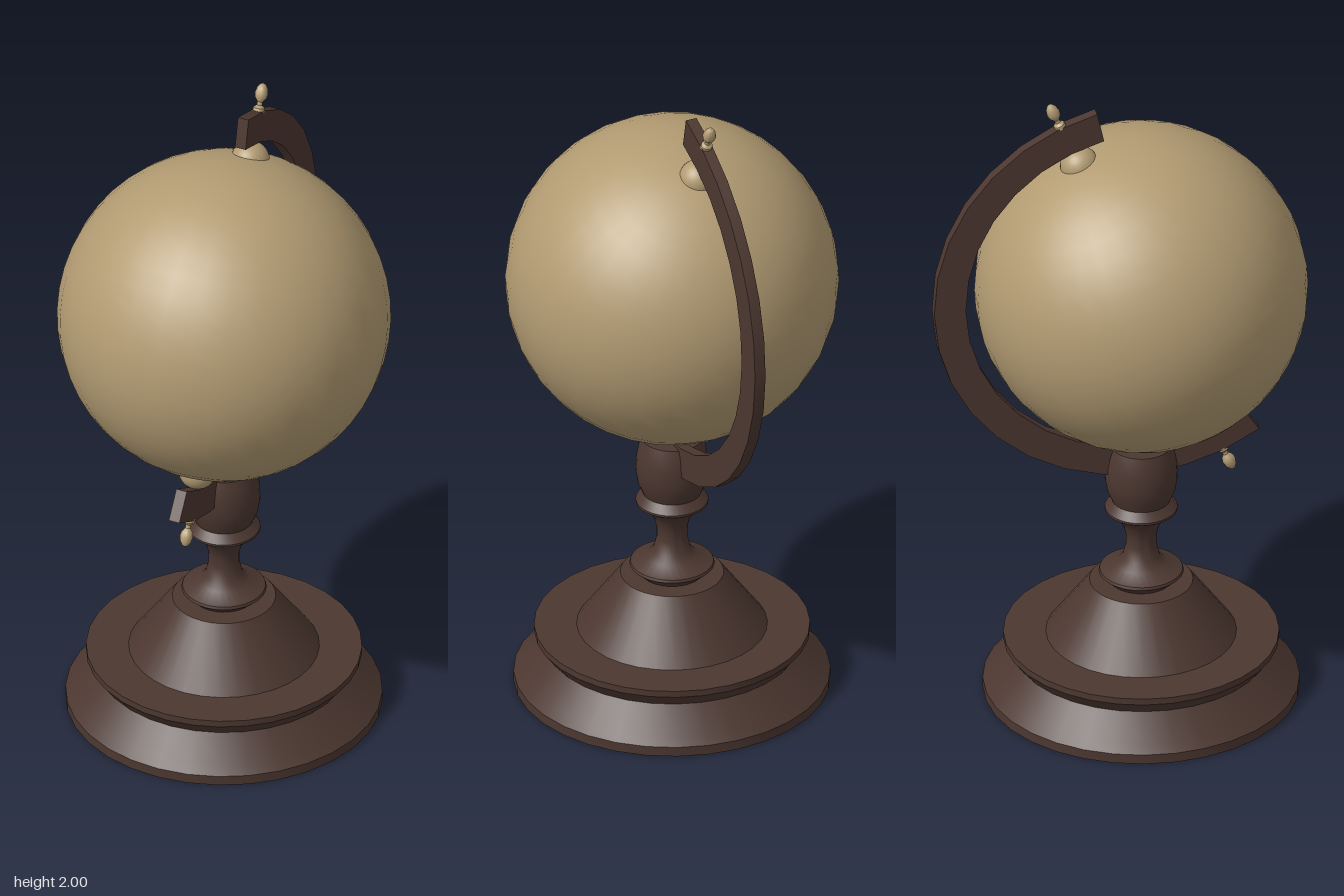
import * as THREE from 'three';
import { toCreasedNormals } from 'three/addons/utils/BufferGeometryUtils.js';

const CENTRE_Y = 1.35, CENTRE_Z = 0.07, TILT = THREE.MathUtils.degToRad(23);

function lathe(profile, segments) {
  const points = profile.map(([r, y]) => new THREE.Vector2(r, y));
  return toCreasedNormals(new THREE.LatheGeometry(points, segments), 0.6);
}

function addMesh(parent, name, geometry, material) {
  const mesh = new THREE.Mesh(geometry, material);
  mesh.name = name;
  parent.add(mesh);
  return mesh;
}

export function createModel() {
  const model = new THREE.Group();
  model.name = 'tabletopGlobe';
  const wood = new THREE.MeshStandardMaterial({ color: 0x4c3730 });
  wood.name = 'darkWood';
  const tan = new THREE.MeshStandardMaterial({ color: 0xb29b72 });
  tan.name = 'agedTan';

  // Stepped round foot with a conical top
  const foot = addMesh(model, 'foot', lathe([
    [0, 0], [0.465, 0], [0.465, 0.03], [0.44, 0.055], [0.375, 0.125],
    [0.405, 0.165], [0.405, 0.185], [0.28, 0.185], [0.152, 0.36], [0, 0.36],
  ], 32), wood);
  foot.position.z = CENTRE_Z;

  // Turned column ending in a cup that grips the arm
  const column = addMesh(model, 'column', lathe([
    [0.09, 0.358], [0.125, 0.39], [0.122, 0.398], [0.075, 0.418], [0.055, 0.44],
    [0.045, 0.48], [0.045, 0.515], [0.055, 0.55], [0.075, 0.578], [0.107, 0.6],
    [0.107, 0.607], [0.086, 0.632], [0.1, 0.665], [0.107, 0.705], [0.105, 0.75],
    [0.099, 0.785], [0.089, 0.815], [0, 0.815],
  ], 32), wood);
  column.position.z = CENTRE_Z;

  // Curved arm behind the ball
  const start = THREE.MathUtils.degToRad(77.5), end = THREE.MathUtils.degToRad(-124.2);
  const arc = new THREE.Shape();
  const steps = 18;
  for (let i = 0; i <= steps; i++) {
    const a = start + (end - start) * i / steps;
    arc[i ? 'lineTo' : 'moveTo'](0.625 * Math.cos(a), 0.625 * Math.sin(a));
  }
  for (let i = steps; i >= 0; i--) {
    const a = start + (end - start) * i / steps;
    arc.lineTo(0.53 * Math.cos(a), 0.53 * Math.sin(a));
  }
  const armGeometry = new THREE.ExtrudeGeometry(arc, { depth: 0.034, bevelEnabled: false });
  armGeometry.translate(0, 0, -0.017).rotateY(Math.PI / 2);
  const arm = addMesh(model, 'arm', toCreasedNormals(armGeometry, 0.5), wood);
  arm.position.set(0, CENTRE_Y, CENTRE_Z);

  // Ball, hubs and finials on the tilted axis
  const axis = new THREE.Group();
  axis.name = 'tiltedAxis';
  axis.position.set(0, CENTRE_Y, CENTRE_Z);
  axis.rotation.x = -TILT;
  model.add(axis);
  addMesh(axis, 'ball', new THREE.SphereGeometry(0.49, 32, 24), tan);

  const finialGeometry = lathe([
    [0, 0.618], [0.018, 0.62], [0.017, 0.632], [0.008, 0.64], [0.008, 0.65],
    [0.017, 0.662], [0.02, 0.675], [0.016, 0.692], [0.009, 0.703], [0, 0.707],
  ], 16);
  for (const side of ['top', 'bottom']) {
    const end = new THREE.Group();
    end.name = side + 'Pivot';
    if (side === 'bottom') end.rotation.x = Math.PI;
    axis.add(end);
    const hub = addMesh(end, side + 'Hub', new THREE.SphereGeometry(0.058, 24, 16), tan);
    hub.position.y = 0.472;
    addMesh(end, side + 'Finial', finialGeometry, tan);
  }
  return model;
}
